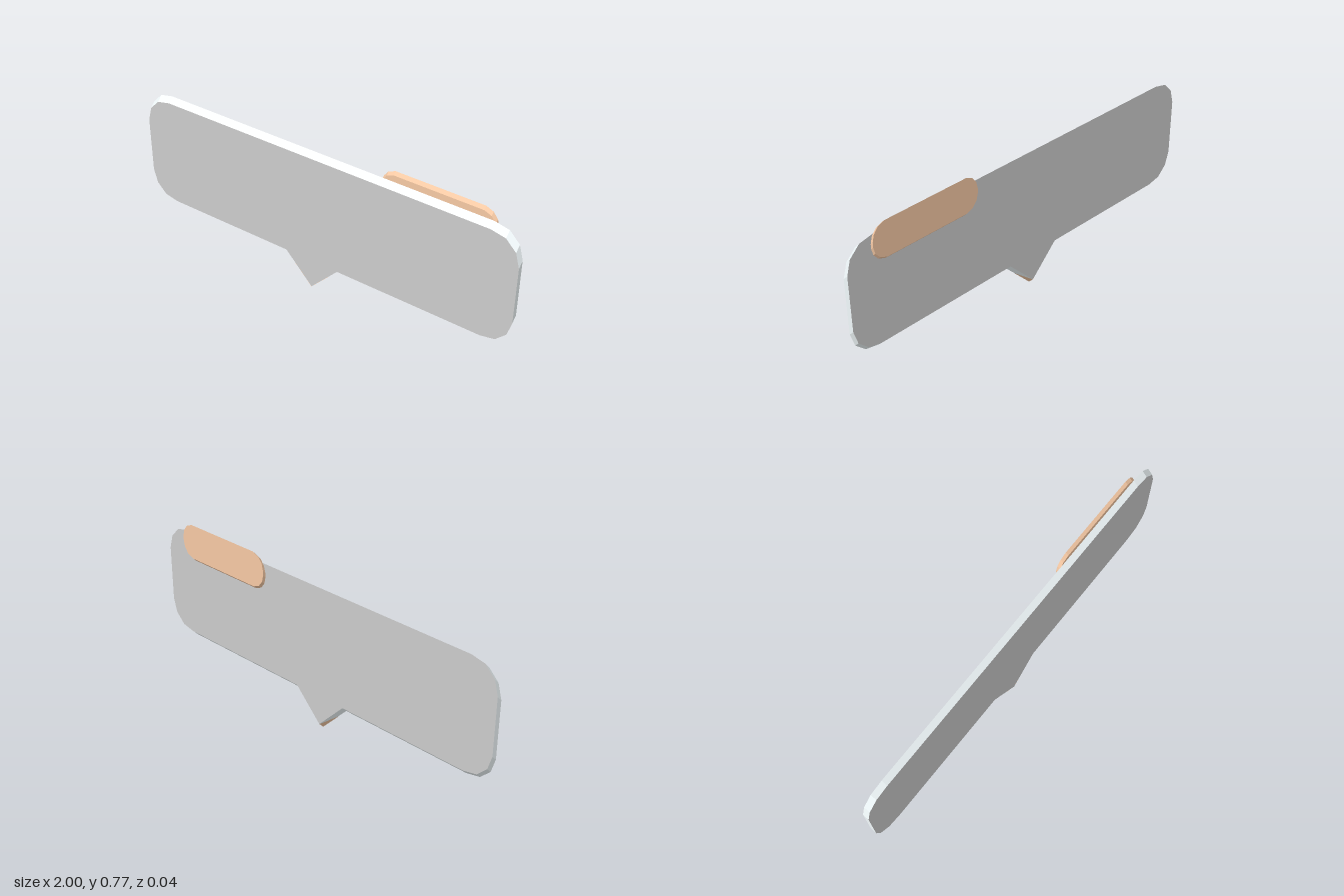
import * as THREE from 'three';

const grey = new THREE.MeshStandardMaterial({ color: 0xcccccc });
const pale = new THREE.MeshStandardMaterial({ color: 0xf2fafc });
const peach = new THREE.MeshStandardMaterial({ color: 0xf6c9a4 });
const tipPaint = new THREE.MeshStandardMaterial({ color: 0xf6c9a4, side: THREE.DoubleSide });

const FRONT = 0.02, MIDDLE = -0.006, BACK = -0.02;

// Rounded outline from one chamfered corner, counter-clockwise; extra points join the bottom edge
function outline(cx, cy, corner, bottom = []) {
  const back = [...corner].reverse();
  const pts = [
    ...corner.map(([x, y]) => [x, -y]),
    ...back.map(([x, y]) => [x, y]),
    ...corner.map(([x, y]) => [-x, y]),
    ...back.map(([x, y]) => [-x, -y]),
  ].map(([x, y]) => new THREE.Vector2(cx + x, cy + y));
  return new THREE.Shape([...pts, ...bottom.map(([x, y]) => new THREE.Vector2(x, y))]);
}

// Plate whose back is slid upward at 45 degrees
function slantedPlate(name, shape, zFront, zBack, materials) {
  const depth = zFront - zBack;
  const geo = new THREE.ExtrudeGeometry(shape, { depth, bevelEnabled: false });
  const p = geo.attributes.position;
  for (let i = 0; i < p.count; i++) p.setY(i, p.getY(i) + depth - p.getZ(i));
  geo.translate(0, 0, zBack);
  geo.computeVertexNormals();
  const mesh = new THREE.Mesh(geo, materials);
  mesh.name = name;
  return mesh;
}

export function createModel() {
  const model = new THREE.Group();
  model.name = 'speechBubble';

  // Main panel with the pointed tail on its lower edge
  const panelCorner = [[0.86, 0.275], [0.93, 0.26], [0.98, 0.21], [1, 0.14]];
  const tail = [[-0.175, 0.15], [-0.03, 0], [0.115, 0.15]];
  model.add(slantedPlate('bubblePanel', outline(0, 0.425, panelCorner, tail), FRONT, MIDDLE, [grey, pale]));

  // Name tag behind the upper left corner
  const tagCorner = [[0.215, 0.0875], [0.25, 0.073], [0.272, 0.045], [0.28, 0.012]];
  model.add(slantedPlate('nameTag', outline(0.595, 0.67, tagCorner), MIDDLE, BACK, [peach, peach]));

  // Coloured wedges on the two sloping sides of the tail tip
  for (const s of [-1, 1]) {
    const geo = new THREE.BufferGeometry().setFromPoints([
      new THREE.Vector3(-0.03, 0, FRONT),
      new THREE.Vector3(-0.03, FRONT - MIDDLE, MIDDLE),
      new THREE.Vector3(-0.03 + s * 0.0967, 0.1, FRONT),
    ]);
    if (s < 0) geo.setIndex([0, 2, 1]);
    else geo.setIndex([0, 1, 2]);
    geo.translate(s * 0.0005, -0.0005, 0);
    geo.computeVertexNormals();
    const wedge = new THREE.Mesh(geo, tipPaint);
    wedge.name = s < 0 ? 'tailTipRight' : 'tailTipLeft';
    model.add(wedge);
  }
  return model;
}
